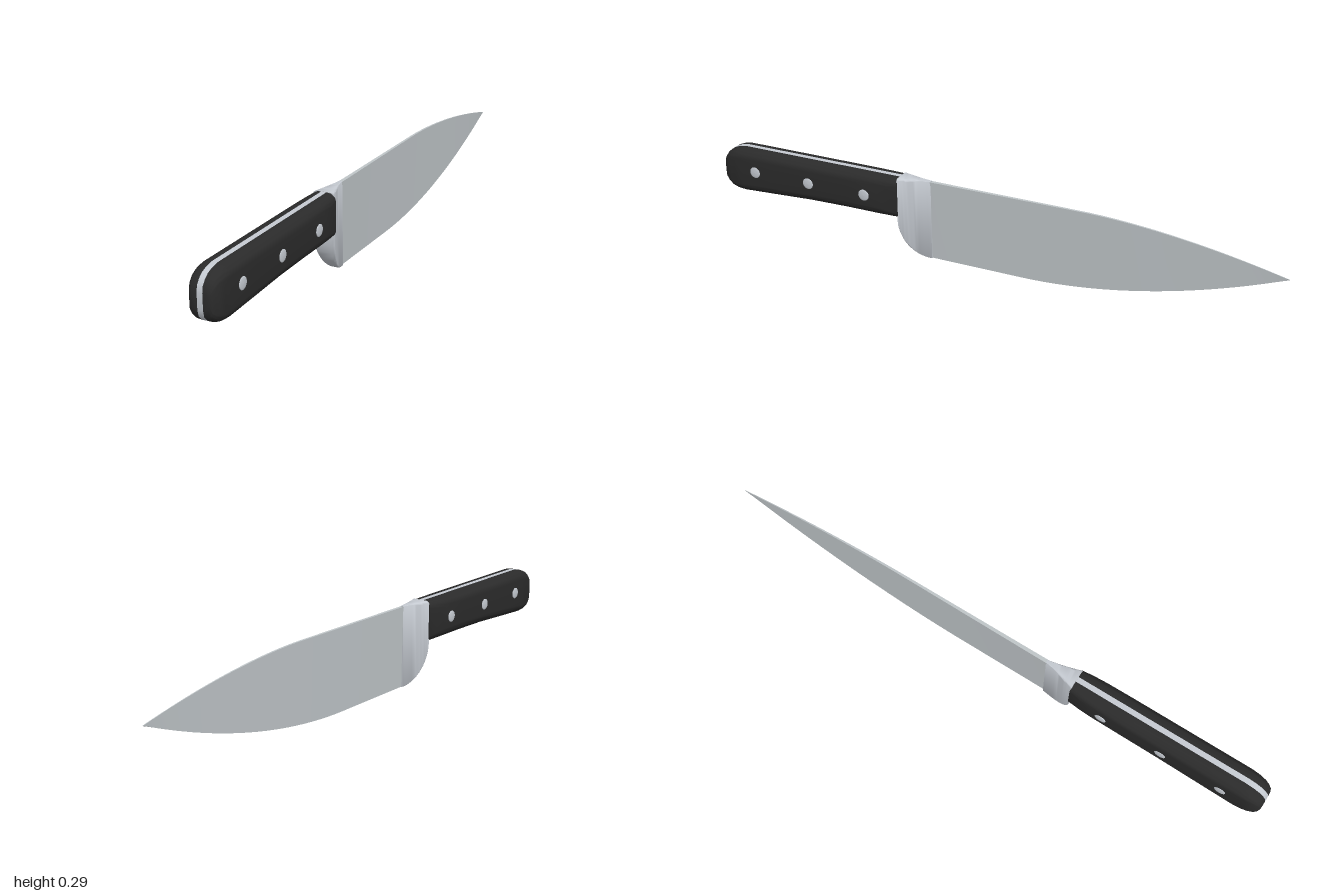
import * as THREE from 'three';
import { toCreasedNormals } from 'three/addons/utils/BufferGeometryUtils.js';

const bladeSteel = new THREE.MeshStandardMaterial({ name: 'blade steel', color: 0xc0c6c9 });
const polishedSteel = new THREE.MeshStandardMaterial({ name: 'polished steel', color: 0xc6cbd2 });
const black = new THREE.MeshStandardMaterial({ name: 'black handle', color: 0x2b2b2b });

// Skin over rings of [x, y] (counterclockwise seen from +z), running towards -z, capped at both ends
function loft(stations, crease = 0.7) {
  const n = stations[0].ring.length, pos = [], idx = [];
  for (const { z, ring } of stations) for (const [x, y] of ring) pos.push(x, y, z);
  for (let s = 0; s < stations.length - 1; s++) {
    for (let i = 0; i < n; i++) {
      const a = s * n + i, b = s * n + (i + 1) % n;
      idx.push(a, a + n, b, b, a + n, b + n);
    }
  }
  const last = (stations.length - 1) * n;
  for (let i = 1; i < n - 1; i++) idx.push(0, i, i + 1, last, last + i + 1, last + i);
  const geo = new THREE.BufferGeometry();
  geo.setAttribute('position', new THREE.Float32BufferAttribute(pos, 3));
  geo.setIndex(idx);
  return toCreasedNormals(geo, crease);
}

// Rectangle with separately rounded left and right corners
function roundedRing(x0, x1, y0, y1, rLeft, rRight, steps = 8) {
  const ring = [];
  const corner = (x, y, sx, sy, r, start) => {
    if (r === 0) { ring.push([x, y]); return; }
    for (let i = 0; i <= steps; i++) {
      const a = start + (i / steps) * Math.PI / 2;
      ring.push([x - sx * r + r * Math.cos(a), y - sy * r + r * Math.sin(a)]);
    }
  };
  corner(x1, y0, 1, -1, rRight, -Math.PI / 2);
  corner(x1, y1, 1, 1, rRight, 0);
  corner(x0, y1, -1, 1, rLeft, Math.PI / 2);
  corner(x0, y0, -1, -1, rLeft, Math.PI);
  return ring;
}

export function createModel() {
  const model = new THREE.Group();
  model.name = 'kitchenKnife';
  const add = (name, geo, mat) => {
    const mesh = new THREE.Mesh(geo, mat);
    mesh.name = name;
    model.add(mesh);
    return mesh;
  };

  // Blade: wedge sections, straight near the heel and curving in to the point
  const blade = [];
  for (let i = 0; i <= 32; i++) {
    const z = 0.215 - 1.215 * (i / 32);
    const e = Math.max(0, (-0.13 - z) / 0.87), s = Math.max(0, (-0.33 - z) / 0.67);
    const top = 0.284 - 0.089 * Math.pow(s, 1.8);
    const bottom = Math.min(0.195 * Math.pow(e, 1.9), top - 0.001);
    const t = 0.0065 - 0.0055 * (i / 32);
    blade.push({ z, ring: [[0, bottom], [t, top], [-t, top]] });
  }
  add('blade', loft(blade, 0.5), bladeSteel);

  // Bolster: flares from the blade out to the handle, with a rounded heel
  const bolster = [];
  for (let i = 0; i <= 16; i++) {
    const t = Math.pow(i / 16, 1.6);
    const bottom = 0.13 * (1 - Math.sqrt(1 - (1 - t) ** 2));
    const w = 0.006 + 0.031 * Math.pow(1 - t, 1.3);
    bolster.push({ z: 0.312 - 0.112 * t, ring: roundedRing(-w, w, bottom, 0.286, w * 0.35, w * 0.35, 4) });
  }
  add('bolster', loft(bolster), polishedSteel);

  // Handle outline: z, top, bottom, half width
  const outline = [
    [1.0, 0.225, 0.175, 0.030], [0.996, 0.245, 0.155, 0.036], [0.985, 0.260, 0.142, 0.041],
    [0.97, 0.272, 0.132, 0.045], [0.95, 0.280, 0.126, 0.048], [0.92, 0.285, 0.124, 0.050],
    [0.8, 0.285, 0.130, 0.050], [0.65, 0.285, 0.138, 0.050], [0.5, 0.285, 0.141, 0.050],
    [0.4, 0.285, 0.141, 0.049], [0.35, 0.285, 0.141, 0.046], [0.31, 0.285, 0.141, 0.041],
  ];
  const core = 0.009;
  add('tang', loft(outline.map(([z, top, bottom]) =>
    ({ z, ring: roundedRing(-core, core, bottom, top, 0, 0) }))), polishedSteel);

  // Scales on both sides of the tang, each with three domed rivets
  for (const side of [1, -1]) {
    const label = side > 0 ? 'left' : 'right';
    add(label + 'HandleScale', loft(outline.map(([z, top, bottom, w]) => {
      const r = Math.min(0.033, (w - core) * 0.8);
      return { z, ring: side > 0
        ? roundedRing(core, w, bottom, top, 0, r)
        : roundedRing(-w, -core, bottom, top, r, 0) };
    })), black);

    [0.865, 0.65, 0.432].forEach((z, i) => {
      const dome = new THREE.LatheGeometry([
        [0.020, -0.01], [0.020, 0.0005], [0.018, 0.002], [0.011, 0.003], [0, 0.0035],
      ].map(([x, y]) => new THREE.Vector2(x, y)), 24);
      const rivet = add(label + 'Rivet' + (i + 1), dome, polishedSteel);
      rivet.rotation.z = -side * Math.PI / 2;
      rivet.position.set(side * 0.0495, 0.21, z);
    });
  }
  return model;
}
